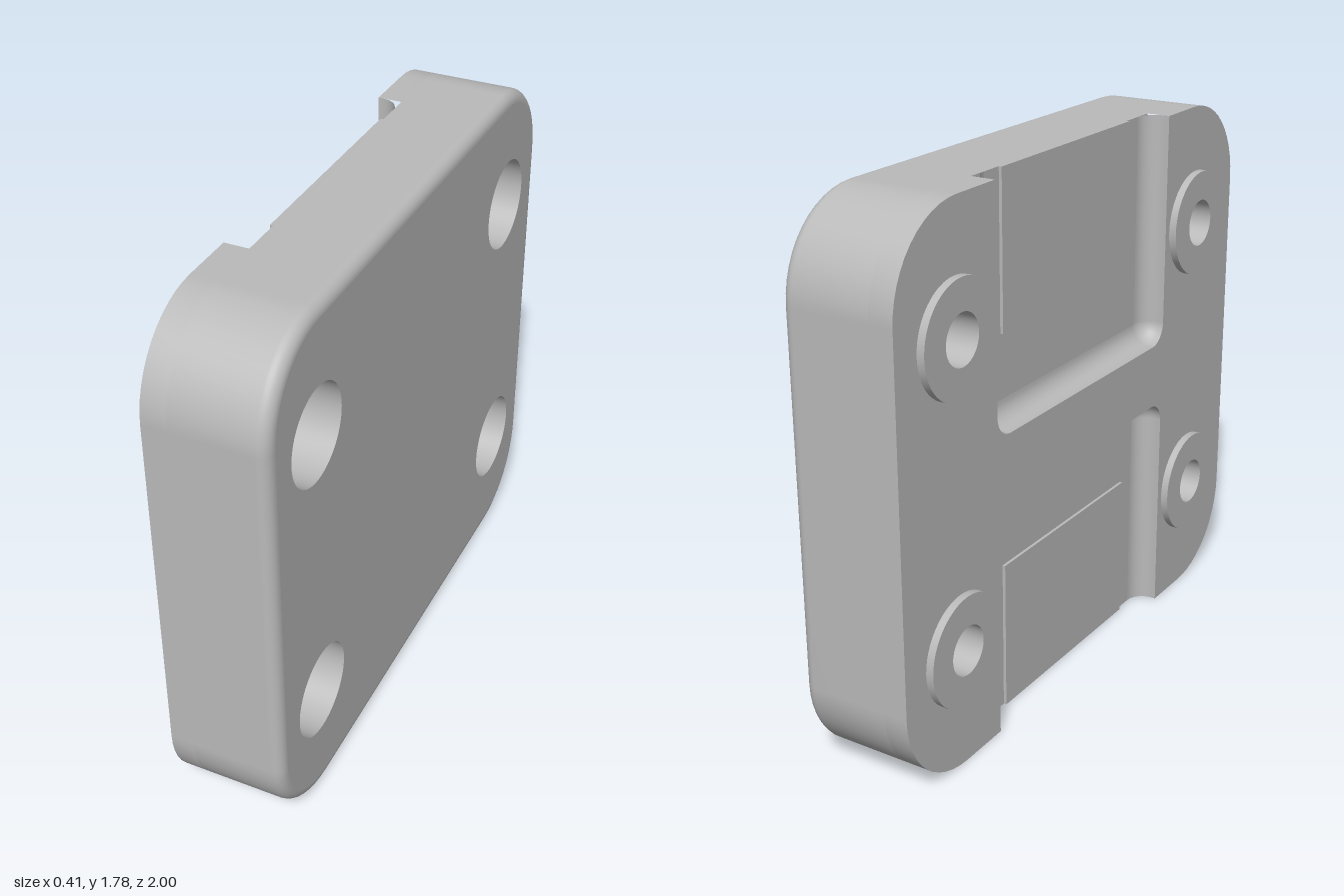
import * as THREE from 'three';
import { toCreasedNormals } from 'three/addons/utils/BufferGeometryUtils.js';

const H = 0.89, W = 1, R = 0.3;                 // half height, half width, corner radius
const BACK = -0.18, FLOOR = -0.1, FRONT = 0.2;  // x levels
const PW = 0.515, PB = 0.11, FILLET = 0.065;    // pocket half width, inner end, fillet
const HOLE_Z = 0.72, HOLE_Y = 0.488;

// Points of an arc in the outline plane (u = -z, v = y)
function arc(cx, cy, r, a0, a1, n = 12) {
  return Array.from({ length: n + 1 }, (_, i) => {
    const a = a0 + (a1 - a0) * i / n;
    return new THREE.Vector2(cx + r * Math.cos(a), cy + r * Math.sin(a));
  });
}

const Q = Math.PI / 2;
const rightCorners = (d) => [
  ...arc(W - R, R - H, R - d, -Q, 0),
  ...arc(W - R, H - R, R - d, 0, Q),
];
const turned = (pts) => pts.map((p) => p.clone().negate());
const outline = (d) => [...rightCorners(d), ...turned(rightCorners(d))];
const sidePath = () => [new THREE.Vector2(PW, -H), ...rightCorners(0), new THREE.Vector2(PW, H)];

// U-shaped pocket edge, open at the top, inset by d
function pocketPath(d) {
  const r = 0.07;
  return [
    new THREE.Vector2(PW - d, H),
    ...arc(PW - r, PB + r, r - d, 0, -Q, 8),
    ...arc(r - PW, PB + r, r - d, -Q, -2 * Q, 8),
    new THREE.Vector2(d - PW, H),
  ];
}

// Skin between outlines placed at increasing x
function loft(rings, closed) {
  const n = rings[0].pts.length, pos = [], idx = [];
  for (const { x, pts } of rings) for (const p of pts) pos.push(x, p.y, -p.x);
  for (let j = 0; j < rings.length - 1; j++) {
    for (let i = 0; i < (closed ? n : n - 1); i++) {
      const k = (i + 1) % n;
      const a = j * n + i, b = j * n + k, c = b + n, d = a + n;
      idx.push(a, b, c, a, c, d);
    }
  }
  const g = new THREE.BufferGeometry();
  g.setAttribute('position', new THREE.Float32BufferAttribute(pos, 3));
  g.setIndex(idx);
  g.computeVertexNormals();
  return g;
}

// Flat face at x, looking along +x (side 1) or -x (side -1)
function face(pts, x, side, holeR) {
  const shape = new THREE.Shape(pts);
  if (holeR) {
    for (const u of [-HOLE_Z, HOLE_Z]) for (const v of [-HOLE_Y, HOLE_Y]) {
      shape.holes.push(new THREE.Path().absarc(u, v, holeR, 0, Math.PI * 2, true));
    }
  }
  return new THREE.ShapeGeometry(shape, 24).rotateY(side * Q).translate(x, 0, 0);
}

export function createModel() {
  const model = new THREE.Group();
  model.name = 'mountingPlate';
  const grey = new THREE.MeshStandardMaterial({ color: 0xbababa });
  grey.name = 'grey';

  const body = new THREE.Group();
  body.name = 'body';
  body.position.y = H;
  model.add(body);
  const add = (name, geometry, parent = body) => {
    const m = new THREE.Mesh(geometry, grey);
    m.name = name;
    parent.add(m);
    return m;
  };

  // Outer rim with rounded front edge
  const edge = 0.04, rim = [{ x: FLOOR, pts: outline(0) }];
  for (let i = 0; i <= 8; i++) {
    const t = Q * i / 8;
    rim.push({ x: FRONT - edge + edge * Math.sin(t), pts: outline(edge * (1 - Math.cos(t))) });
  }
  add('rim', loft(rim, true));
  add('frontFace', face(outline(edge), FRONT, 1, 0.155));

  // Back face, notched by the two pockets
  const half = [...sidePath(), ...pocketPath(0).slice(1, -1)];
  add('backFace', face([...half, ...turned(half)], BACK, -1, 0.18));

  // Counterbored holes with raised bosses at the back
  const profile = [
    [0.155, FRONT], [0.155, -0.06], [0.08, -0.06],
    [0.08, -0.205], [0.18, -0.205], [0.18, BACK],
  ].map(([r, a]) => new THREE.Vector2(r, a));
  const bore = toCreasedNormals(new THREE.LatheGeometry(profile, 48), 0.6).rotateZ(-Q);
  for (const z of [-HOLE_Z, HOLE_Z]) for (const y of [-HOLE_Y, HOLE_Y]) {
    add('boreAndBoss', bore).position.set(0, y, z);
  }

  // Pocket and side wall, repeated turned half way round
  const wall = [{ x: BACK, pts: pocketPath(0) }];
  for (let i = 0; i <= 8; i++) {
    const t = Q * i / 8;
    wall.push({
      x: FLOOR - FILLET + FILLET * Math.sin(t),
      pts: pocketPath(FILLET * (1 - Math.cos(t))),
    });
  }
  const pocketWall = loft(wall, false);
  const sideWall = loft([{ x: BACK, pts: sidePath() }, { x: FLOOR, pts: sidePath() }], false);
  const floor = face([[-PW, PB], [PW, PB], [PW, H], [-PW, H]]
    .map(([u, v]) => new THREE.Vector2(u, v)), FLOOR, -1);
  const padBottom = 0.385;
  const pad = new THREE.BoxGeometry(0.012, H - padBottom, 0.75)
    .translate(FLOOR - 0.004, (H + padBottom) / 2, 0);

  for (const turn of [0, Math.PI]) {
    const part = new THREE.Group();
    part.name = turn ? 'lowerPocket' : 'upperPocket';
    part.rotation.x = turn;
    body.add(part);
    add('sideWall', sideWall, part);
    add('pocketWall', pocketWall, part);
    add('pocketFloor', floor, part);
    add('raisedPad', pad, part);
    // End caps of the fillets at the open edge
    for (const s of [-1, 1]) {
      const pts = wall.slice(1).map((r) => new THREE.Vector2(s * r.pts[0].x, -r.x));
      pts.push(new THREE.Vector2(s * PW, -FLOOR));
      // shape axes: X is z, Y is -x
      const cap = new THREE.ShapeGeometry(new THREE.Shape(pts)).rotateX(-Q).rotateY(Q);
      // rotateX lays it flat, rotateY swings the depth axis onto x
      add('filletCap', cap, part);
    }
  }
  return model;
}
